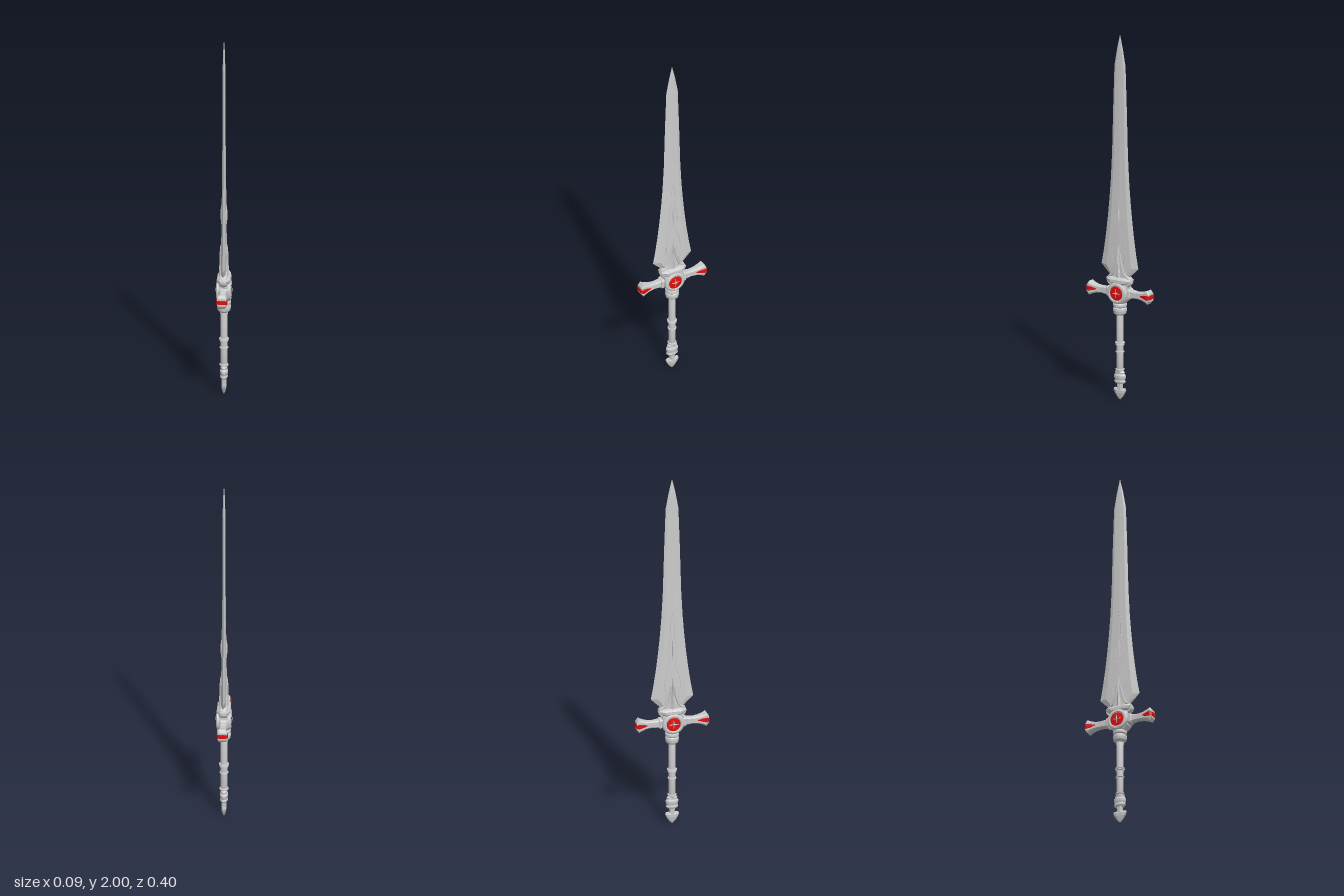
import * as THREE from 'three';

const grey = new THREE.MeshStandardMaterial({ color: 0xcccccc, flatShading: true });
const smooth = new THREE.MeshStandardMaterial({ color: 0xcccccc });
const red = new THREE.MeshStandardMaterial({ color: 0xe01010, flatShading: true });
const HUB_Y = 0.588;

// Skins a stack of cross-sections; each row is { y, pts: [[x, z], ...] }
function loft(rows) {
  const pos = [];
  const n = rows[0].pts.length;
  const at = (r, j) => [r.pts[j % n][0], r.y, r.pts[j % n][1]];
  for (let i = 0; i < rows.length - 1; i++) {
    for (let j = 0; j < n; j++) {
      const a = at(rows[i], j), b = at(rows[i], j + 1);
      const c = at(rows[i + 1], j), d = at(rows[i + 1], j + 1);
      pos.push(...a, ...c, ...b, ...b, ...c, ...d);
    }
  }
  const first = rows[0], last = rows[rows.length - 1];
  for (let j = 0; j < n; j++) {
    pos.push(0, first.y, 0, ...at(first, j), ...at(first, j + 1));
    pos.push(0, last.y, 0, ...at(last, j + 1), ...at(last, j));
  }
  const geo = new THREE.BufferGeometry();
  geo.setAttribute('position', new THREE.Float32BufferAttribute(pos, 3));
  geo.computeVertexNormals();
  return geo;
}

const diamond = (x, z) => [[x, 0], [0, z], [-x, 0], [0, -z]];
const octagon = (x, z, k = 0.6) => [
  [x, -z * k], [x, z * k], [x * k, z], [-x * k, z],
  [-x, z * k], [-x, -z * k], [-x * k, -z], [x * k, -z]];
// Bevelled edges, shallow faces and a central ridge
const bladeSection = (t, w) => [
  [t, 0], [t * 0.8, w * 0.68], [0, w], [-t * 0.8, w * 0.68],
  [-t, 0], [-t * 0.8, -w * 0.68], [0, -w], [t * 0.8, -w * 0.68]];

function part(parent, name, geo, mat) {
  const m = new THREE.Mesh(geo, mat);
  m.name = name;
  parent.add(m);
  return m;
}

// Turned part from [radius, y] pairs
const lathe = (pts, seg = 24) => new THREE.LatheGeometry(pts.map(p => new THREE.Vector2(...p)), seg);

function buildBlade(group) {
  const rows = [
    [0.64, 0.015, 0.035], [0.665, 0.015, 0.05], [0.73, 0.014, 0.116], [0.80, 0.014, 0.103],
    [0.90, 0.013, 0.088], [1.0, 0.012, 0.076], [1.1, 0.011, 0.066], [1.2, 0.010, 0.058],
    [1.35, 0.009, 0.050], [1.6, 0.008, 0.043], [1.83, 0.007, 0.035], [1.92, 0.006, 0.019], [2.0, 0.0005, 0.0005]];
  part(group, 'blade', loft(rows.map(([y, t, w]) => ({ y, pts: bladeSection(t, w) }))), grey);

  // Raised leaf at the root and a slim boss further up
  const spine = [[0.64, 0.027, 0.03], [0.70, 0.026, 0.022], [0.76, 0.024, 0.012], [0.82, 0.022, 0.012], [0.88, 0.01, 0.002]];
  part(group, 'bladeRootLeaf', loft(spine.map(([y, x, z]) => ({ y, pts: diamond(x, z) }))), grey);
  const boss = [[0.92, 0.010, 0.003], [1.0, 0.019, 0.01], [1.03, 0.019, 0.01], [1.10, 0.010, 0.003]];
  part(group, 'bladeBoss', loft(boss.map(([y, x, z]) => ({ y, pts: diamond(x, z) }))), grey);

  // Scrolling filigree on both faces
  const scroll = [[0.69, 0.045], [0.75, 0.03], [0.80, 0.044], [0.87, 0.034], [0.93, 0.014], [1.0, 0.024], [1.08, 0.012], [1.16, 0.01], [1.23, 0]];
  for (const sx of [1, -1]) for (const sz of [1, -1]) {
    const curve = new THREE.CatmullRomCurve3(scroll.map(([y, z]) =>
      new THREE.Vector3(sx * (0.0125 - (y - 0.69) * 0.0075), y, sz * z)));
    part(group, 'bladeFiligree', new THREE.TubeGeometry(curve, 40, 0.0022, 5), smooth);
  }
}

function buildHub(group) {
  const hub = [[0.535, 0.03, 0.036], [0.555, 0.033, 0.05], [0.62, 0.033, 0.055], [0.635, 0.03, 0.052],
    [0.645, 0.036, 0.064], [0.66, 0.036, 0.074], [0.668, 0.03, 0.07], [0.672, 0.022, 0.045]];
  part(group, 'guardHub', loft(hub.map(([y, x, z]) => ({ y, pts: octagon(x, z) }))), grey);

  // Curled shoulders that hold the blade
  for (const s of [1, -1]) {
    const curve = new THREE.CatmullRomCurve3([[0.62, 0.04], [0.645, 0.068], [0.668, 0.064], [0.69, 0.038], [0.74, 0.018], [0.80, 0.008]]
      .map(([y, z]) => new THREE.Vector3(0, y, s * z)));
    const horn = part(group, 'bladeShoulder', new THREE.TubeGeometry(curve, 24, 0.008, 8), smooth);
    horn.scale.x = 2.6;
  }

  // Round medallion on each face
  for (const s of [1, -1]) {
    const medal = new THREE.Group();
    medal.name = 'medallion';
    medal.position.y = HUB_Y;
    medal.rotation.z = -s * Math.PI / 2;
    part(medal, 'medallionRim', lathe([[0.058, 0.02], [0.058, 0.034], [0.053, 0.038], [0.044, 0.04], [0.04, 0.037], [0, 0.037]], 32), grey);
    part(medal, 'medallionInlay', lathe([[0.039, 0.036], [0.037, 0.039], [0, 0.042]], 32), red);
    // Plain four-rayed ornament
    for (let i = 0; i < 4; i++) {
      const ray = part(medal, 'medallionRay', new THREE.ConeGeometry(0.006, 0.028, 4), grey);
      ray.rotation.set(Math.PI / 2, 0, i * Math.PI / 2, 'YXZ');
      const a = i * Math.PI / 2;
      ray.rotation.set(0, 0, 0);
      ray.quaternion.setFromUnitVectors(new THREE.Vector3(0, 1, 0), new THREE.Vector3(Math.sin(a), 0, Math.cos(a)));
      ray.position.set(Math.sin(a) * 0.014, 0.04, Math.cos(a) * 0.014);
    }
    group.add(medal);
  }
}

function buildArm(s) {
  const arm = new THREE.Group();
  arm.name = s > 0 ? 'frontGuardArm' : 'backGuardArm';
  arm.position.y = HUB_Y;
  arm.rotation.y = s > 0 ? 0 : Math.PI;
  const along = (name, rows, mat, k) => {
    const m = part(arm, name, loft(rows.map(([y, x, z]) => ({ y, pts: octagon(x, z, k) }))), mat);
    m.rotation.x = Math.PI / 2;
  };
  along('guardArm', [[0.03, 0.019, 0.026], [0.075, 0.018, 0.022], [0.11, 0.017, 0.018], [0.14, 0.019, 0.021],
    [0.165, 0.022, 0.029], [0.184, 0.026, 0.038], [0.196, 0.024, 0.022]], grey, 0.7);
  along('armTipInlay', [[0.135, 0.018, 0.002], [0.16, 0.0245, 0.010], [0.187, 0.030, 0.016], [0.2, 0.022, 0.010]], red, 0.75);
  // Collar where the arm meets the hub
  along('armCollar', [[0.06, 0.024, 0.028], [0.07, 0.024, 0.028], [0.076, 0.019, 0.023]], grey, 0.7);
  return arm;
}

function buildHandle(group) {
  part(group, 'gripCollar', lathe([[0, 0.462], [0.022, 0.464], [0.034, 0.475], [0.037, 0.49], [0.036, 0.502], [0.031, 0.507],
    [0.037, 0.513], [0.037, 0.525], [0.032, 0.53], [0.036, 0.536], [0.036, 0.546], [0.03, 0.555], [0, 0.555]]), grey);
  part(group, 'grip', lathe([[0, 0.15], [0.018, 0.15], [0.018, 0.255], [0.02, 0.3], [0.019, 0.32], [0.02, 0.47], [0, 0.47]], 16), smooth);
  for (const [y, r] of [[0.312, 0.026], [0.302, 0.024], [0.262, 0.023], [0.165, 0.024]]) {
    part(group, 'gripRing', lathe([[0.015, y - 0.006], [r, y - 0.003], [r, y + 0.003], [0.015, y + 0.006]]), grey);
  }

  // Pommel: wide in z, slim in x
  const knob = part(group, 'pommelKnob', lathe([[0, 0.085], [0.026, 0.088], [0.034, 0.098], [0.03, 0.108], [0.034, 0.12],
    [0.035, 0.132], [0.027, 0.142], [0.029, 0.15], [0.02, 0.158], [0, 0.158]], 16), grey);
  knob.scale.x = 0.62;
  part(group, 'pommelNeck', loft([[0.05, 0.012, 0.012], [0.095, 0.014, 0.014]].map(([y, x, z]) => ({ y, pts: octagon(x, z) }))), grey);
  part(group, 'pommelTip', loft([[0, 0.002, 0.003], [0.014, 0.007, 0.016], [0.035, 0.012, 0.029], [0.052, 0.013, 0.036], [0.062, 0.009, 0.035], [0.056, 0.009, 0.015]]
    .map(([y, x, z]) => ({ y, pts: octagon(x, z, 0.5) }))), grey);
}

export function createModel() {
  const group = new THREE.Group();
  group.name = 'sword';
  buildBlade(group);
  buildHub(group);
  group.add(buildArm(1), buildArm(-1));
  buildHandle(group);
  return group;
}
